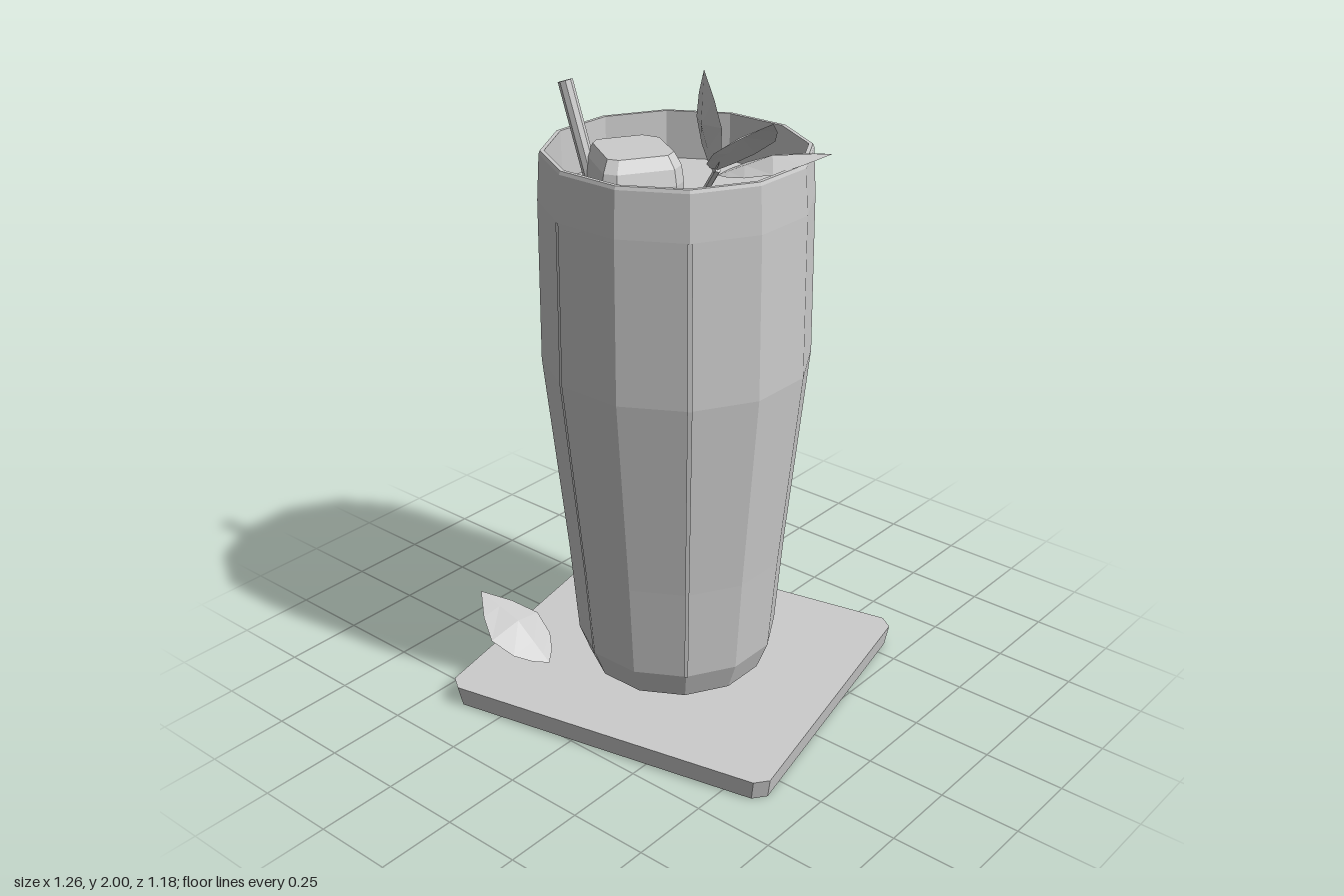
import * as THREE from 'three';

// double-sided because the leaves and strips are open sheets
const grey = new THREE.MeshStandardMaterial({ color: 0xcccccc, side: THREE.DoubleSide });
const V = (x, y, z) => new THREE.Vector3(x, y, z);

function part(name, geometry) {
  const g = geometry.index ? geometry.toNonIndexed() : geometry;
  g.computeVertexNormals(); // faceted
  const mesh = new THREE.Mesh(g, grey);
  mesh.name = name;
  return mesh;
}

function fromTriangles(points) {
  return new THREE.BufferGeometry().setFromPoints(points);
}

// Closed solid through scaled copies of an outline; layers are [y, scale, dx, dz]
function loft(outline, layers) {
  const cx = outline.reduce((s, p) => s + p[0], 0) / outline.length;
  const cz = outline.reduce((s, p) => s + p[1], 0) / outline.length;
  const rings = layers.map(([y, s, dx = 0, dz = 0]) =>
    outline.map(([x, z]) => V(cx + (x - cx) * s + dx, y, cz + (z - cz) * s + dz)));
  const tris = [], n = outline.length, last = rings[rings.length - 1];
  for (let r = 0; r < rings.length - 1; r++) {
    for (let i = 0; i < n; i++) {
      const j = (i + 1) % n, a = rings[r], b = rings[r + 1];
      tris.push(a[i], a[j], b[j], a[i], b[j], b[i]);
    }
  }
  for (let i = 1; i < n - 1; i++) {
    tris.push(rings[0][0], rings[0][i + 1], rings[0][i]);
    tris.push(last[0], last[i], last[i + 1]);
  }
  return fromTriangles(tris);
}

// Leaf folded along a raised midrib, running from base to tip
function leaf(name, base, tip, up, scale) {
  const dir = tip.clone().sub(base);
  const side = dir.clone().cross(up).normalize();
  const normal = side.clone().cross(dir).normalize();
  const profile = [[0, 0], [0.1, 0.045], [0.25, 0.085], [0.5, 0.107], [0.75, 0.065], [1, 0]];
  const rows = profile.map(([t, w]) => {
    const p = base.clone().addScaledVector(dir, t);
    const mid = p.clone().addScaledVector(normal, 0.032 * scale * (1 - Math.abs(2 * t - 1)));
    return [p.clone().addScaledVector(side, -w * scale), mid, p.clone().addScaledVector(side, w * scale)];
  });
  const tris = [];
  for (let r = 0; r < rows.length - 1; r++) {
    for (let k = 0; k < 2; k++) {
      const a = rows[r], b = rows[r + 1];
      tris.push(a[k], a[k + 1], b[k + 1], a[k], b[k + 1], b[k]);
    }
  }
  return part(name, fromTriangles(tris));
}

// Straight rod between two points
function rod(name, a, b, radius, sides) {
  const d = b.clone().sub(a);
  const mesh = part(name, new THREE.CylinderGeometry(radius, radius, d.length(), sides));
  mesh.position.copy(a).add(b).multiplyScalar(0.5);
  mesh.quaternion.setFromUnitVectors(V(0, 1, 0), d.normalize());
  return mesh;
}

export function createModel() {
  const model = new THREE.Group();
  model.name = 'icedDrink';

  // Coaster with clipped corners, slightly narrower underneath
  const square = [[0.63, 0.335], [0.435, -0.565], [0.39, -0.595], [-0.6, -0.385],
    [-0.63, -0.335], [-0.44, 0.56], [-0.395, 0.59], [0.6, 0.375]];
  model.add(part('coaster', loft(square, [[0, 0.98], [0.065, 1]])));

  // Twelve-sided glass: outer wall, rim and inner wall
  const wall = [[0.31, 0.18], [0.335, 0.48], [0.4, 1.11], [0.397, 1.6], [0.389, 1.735]];
  const profile = [[0, 0.067], [0.24, 0.067], [0.275, 0.09], ...wall,
    [0.385, 1.745], [0.373, 1.745], [0.37, 1.58]];
  const toPoints = list => list.map(([r, y]) => new THREE.Vector2(r, y));
  const start = Math.PI / 12;
  model.add(part('glass', new THREE.LatheGeometry(toPoints(profile), 12, start)));

  // Drink surface
  model.add(part('drink', new THREE.LatheGeometry(toPoints([[0.371, 1.6], [0, 1.6]]), 12, start)));

  // Thin strips running down a few edges of the glass
  const strip = wall.slice(0, 4).map(([r, y]) => [r + 0.003, y]);
  [45, 165, 285, 345].forEach(deg => {
    const phi = THREE.MathUtils.degToRad(deg - 1);
    model.add(part('glassStrip', new THREE.LatheGeometry(toPoints(strip), 1, phi, 0.035)));
  });

  // Ice cube with a bevelled top
  const cube = [[0.04, 0.05], [0.025, 0], [-0.125, -0.095], [-0.19, -0.08],
    [-0.275, 0.067], [-0.257, 0.107], [-0.09, 0.215], [-0.05, 0.2]];
  model.add(part('iceCube', loft(cube,
    [[1.56, 1], [1.65, 1], [1.695, 0.96, -0.006, -0.006], [1.728, 0.82, -0.015, -0.015]])));

  // Straw leaning on the rim
  model.add(rod('straw', V(-0.16, 1.4, 0.1), V(-0.33, 1.9, 0.102), 0.022, 8));

  // Sprig: stem and three leaves
  const sprig = new THREE.Group();
  sprig.name = 'sprig';
  const top = V(0.17, 1.72, 0.03);
  sprig.add(
    rod('stem', V(0.06, 1.57, 0), top, 0.01, 5),
    leaf('uprightLeaf', V(0.165, 1.71, 0.04), V(0.14, 2, 0.055), V(-0.43, 0, 0.9), 0.75),
    leaf('risingLeaf', top, V(0.41, 1.91, 0.1), V(0, 1, 0), 0.95),
    leaf('lowLeaf', V(0.16, 1.7, 0.02), V(0.42, 1.77, -0.16), V(0, 1, 0), 0.87),
  );
  model.add(sprig);

  // Loose leaf resting against the glass
  model.add(leaf('looseLeaf', V(-0.257, 0.08, 0.323), V(-0.545, 0.235, 0.333), V(0, 1, 0), 1));
  return model;
}
